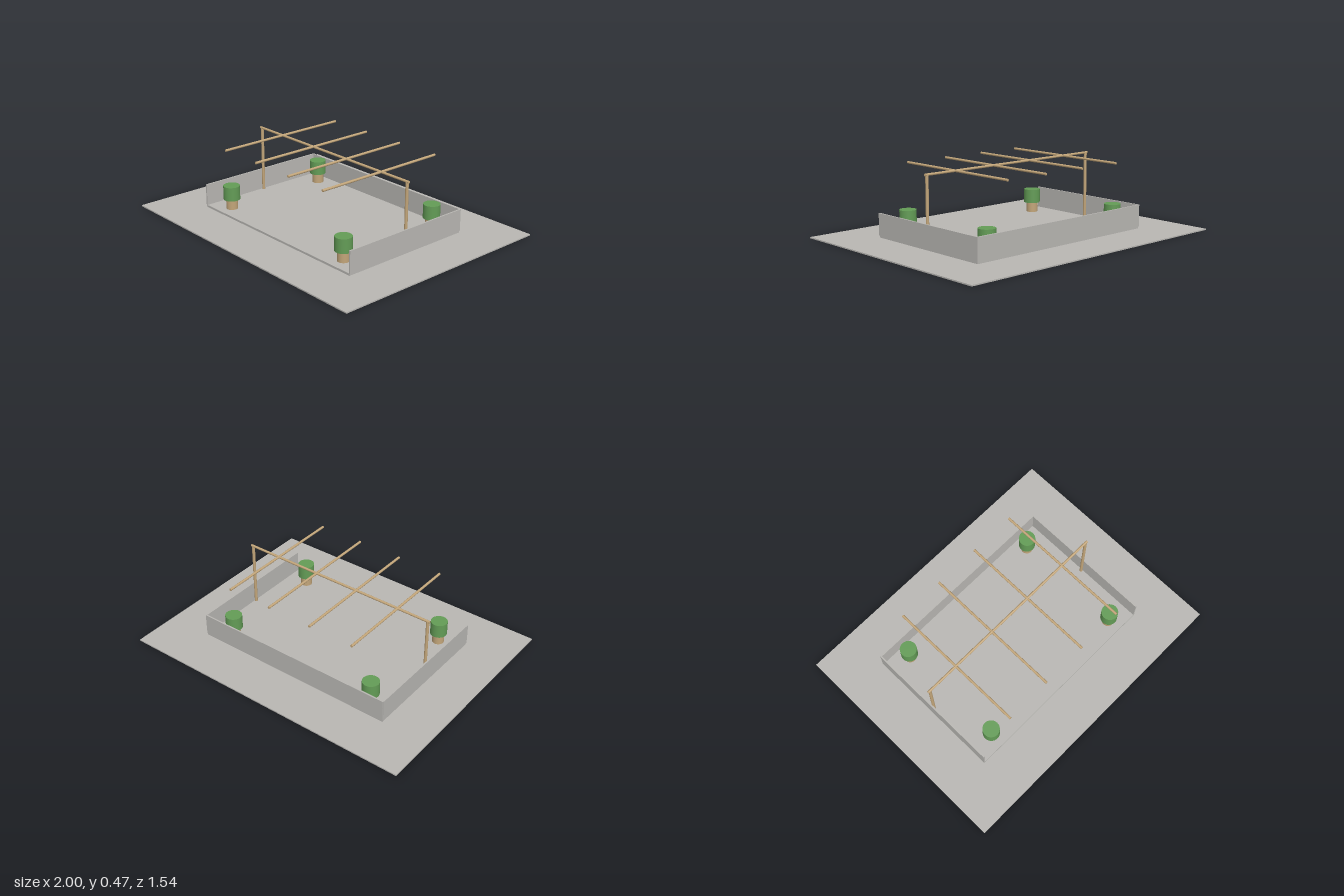
import * as THREE from 'three';

export function createModel() {
  const root = new THREE.Group();
  root.name = 'pergolaTerrace';

  const mat = (name, color) => {
    const m = new THREE.MeshStandardMaterial({ color });
    m.name = name;
    return m;
  };
  const concrete = mat('concrete grey', 0xb9b7b3);
  const wood = mat('wood tan', 0xc2a579);
  const leaf = mat('leaf green', 0x639c56);

  const add = (name, geometry, material, x, y, z) => {
    const mesh = new THREE.Mesh(geometry, material);
    mesh.name = name;
    mesh.position.set(x, y, z);
    root.add(mesh);
    return mesh;
  };
  const box = (name, w, h, d, x, y, z) =>
    add(name, new THREE.BoxGeometry(w, h, d), concrete, x, y, z);
  const rod = (name, r, length, material, x, y, z, sides = 16) =>
    add(name, new THREE.CylinderGeometry(r, r, length, sides), material, x, y, z);

  // Ground plate and raised floor
  const plateTop = 0.008, floorTop = 0.022, wallTop = 0.164;
  box('groundPlate', 2, plateTop, 1.536, 0, plateTop / 2, 0);
  box('floorSlab', 1.38, floorTop - plateTop, 0.922, 0, (floorTop + plateTop) / 2, 0);

  // Low walls on three sides, open at the front
  const wallH = wallTop - floorTop, wallY = (wallTop + floorTop) / 2;
  box('backWall', 1.38, wallH, 0.01, 0, wallY, -0.461);
  for (const s of [-1, 1]) {
    box(s > 0 ? 'leftWall' : 'rightWall', 0.01, wallH, 0.922, s * 0.69, wallY, 0);
  }

  // Pergola: two posts, a ridge beam and four rafters
  const beamY = 0.457;
  for (const s of [-1, 1]) {
    rod(s > 0 ? 'leftPost' : 'rightPost', 0.01, beamY - floorTop, wood,
      s * 0.676, (beamY + floorTop) / 2, 0);
  }
  rod('ridgeBeam', 0.008, 1.382, wood, 0, beamY, 0).rotation.z = Math.PI / 2;
  for (let i = 0; i < 4; i++) {
    rod('rafter' + (i + 1), 0.008, 0.922, wood, (i - 1.5) * 0.307, beamY, 0)
      .rotation.x = Math.PI / 2;
  }

  // Corner plants: pot with a clipped round shrub
  for (const x of [-0.538, 0.538]) {
    for (const z of [-0.369, 0.369]) {
      rod('pot', 0.038, 0.068, wood, x, floorTop + 0.034, z, 32);
      rod('shrub', 0.054, 0.092, leaf, x, 0.133, z, 32);
    }
  }
  return root;
}
